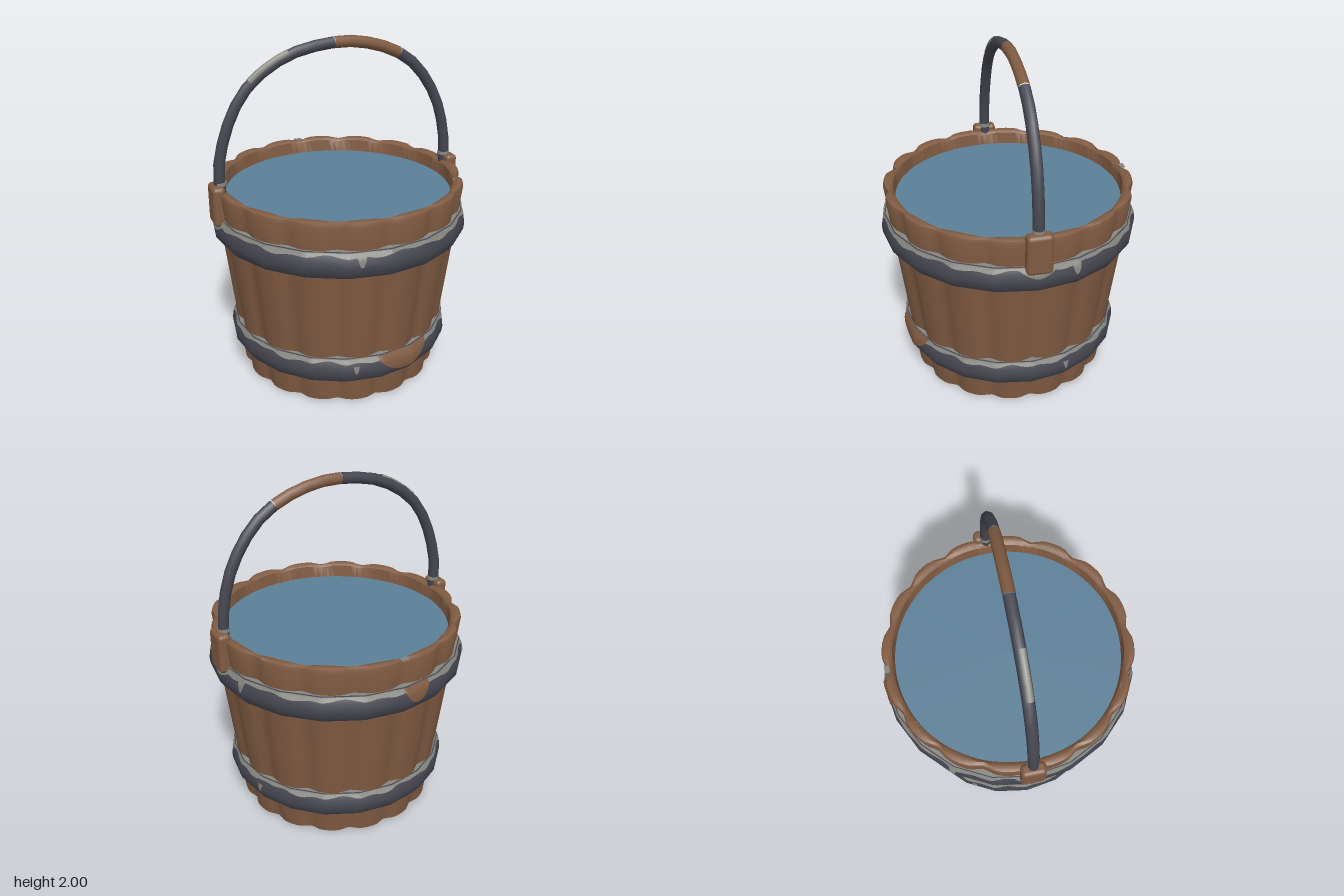
import * as THREE from 'three';
import { toCreasedNormals } from 'three/addons/utils/BufferGeometryUtils.js';
import { RoundedBoxGeometry } from 'three/addons/geometries/RoundedBoxGeometry.js';

const STAVES = 16, SIDES = 20;

function material(name, color, side = THREE.FrontSide) {
  const m = new THREE.MeshStandardMaterial({ color, side });
  m.name = name;
  return m;
}

const v2 = (pts) => pts.map(([x, y]) => new THREE.Vector2(x, y));

// Groove strength, 1 on the seam between two staves and 0 on the stave
function groove(theta) {
  const step = (2 * Math.PI) / STAVES;
  const k = Math.round(theta / step);
  return Math.exp(-(((theta - k * step) / 0.075) ** 2));
}

// Wooden wall: lathe with the stave seams pressed in
function woodGeometry() {
  const g = new THREE.LatheGeometry(v2([
    [0, 0.006], [0.585, 0.006], [0.6, 0.012], [0.624, 0.2], [0.671, 0.6], [0.718, 1.0],
    [0.738, 1.165], [0.732, 1.188], [0.715, 1.196], [0.69, 1.193], [0.675, 1.18], [0.663, 1.07],
  ]), STAVES * 8);
  const p = g.attributes.position;
  for (let i = 0; i < p.count; i++) {
    const x = p.getX(i), y = p.getY(i), z = p.getZ(i), r = Math.hypot(x, z);
    if (r < 0.01) continue;
    const w = groove(Math.atan2(x, z));
    const outer = y < 1.05 || r > 0.7;
    const k = outer ? 1 - (0.026 * w) / r : 1;
    p.setXYZ(i, x * k, y > 1.15 ? y - 0.01 * w : Math.max(0, y - 0.006), z * k);
  }
  return toCreasedNormals(g, 0.75);
}

// Radius of a band profile at height y, on its many-sided outline
function bandRadius(profile, theta, y) {
  let r = profile[1][0];
  for (let i = 1; i < profile.length - 2; i++) {
    const [r0, y0] = profile[i], [r1, y1] = profile[i + 1];
    if (y >= y0) r = r0 + (r1 - r0) * Math.min(1, (y - y0) / (y1 - y0));
  }
  const step = (2 * Math.PI) / SIDES;
  const local = theta - Math.floor(theta / step) * step - step / 2;
  return (r * Math.cos(step / 2)) / Math.cos(local);
}

// Thin painted patch draped on a band between two angles and two edge curves
function patchGeometry(profile, a0, a1, low, high, cols = 24) {
  const g = new THREE.PlaneGeometry(1, 1, cols, 6);
  const p = g.attributes.position;
  for (let i = 0; i < p.count; i++) {
    const t = p.getX(i) + 0.5, v = p.getY(i) + 0.5;
    const a = a0 + (a1 - a0) * t;
    const y = low(t) + (high(t) - low(t)) * v;
    const r = bandRadius(profile, a, y) + 0.004;
    p.setXYZ(i, Math.sin(a) * r, y, Math.cos(a) * r);
  }
  g.computeVertexNormals();
  return g;
}

export function createModel() {
  const wood = material('brown wood', 0x805b42);
  const iron = material('dark iron', 0x464651);
  const worn = material('worn grey metal', 0x85867f, THREE.DoubleSide);
  const water = material('blue water', 0x5c8098);

  const model = new THREE.Group();
  model.name = 'bucket';
  const add = (name, geometry, mat, parent = model) => {
    const mesh = new THREE.Mesh(geometry, mat);
    mesh.name = name;
    parent.add(mesh);
    return mesh;
  };

  add('staves', woodGeometry(), wood);
  const surface = add('waterSurface', new THREE.CircleGeometry(0.672, 64), water);
  surface.rotation.x = -Math.PI / 2;
  surface.position.y = 1.105;

  // Iron bands with a worn upper edge
  const bands = [
    { name: 'upperBand', r: 0.76, y: 0.875, inner: 0.67 },
    { name: 'lowerBand', r: 0.671, y: 0.165, inner: 0.585 },
  ].map(({ name, r, y, inner }) => {
    const group = new THREE.Group();
    group.name = name;
    model.add(group);
    const profile = [
      [inner, y], [r - 0.028, y], [r - 0.004, y + 0.035], [r, y + 0.07],
      [r - 0.006, y + 0.115], [r - 0.026, y + 0.15], [inner, y + 0.153],
    ];
    add('ironHoop', toCreasedNormals(new THREE.LatheGeometry(v2(profile), SIDES), 0.8), iron, group);
    const top = new THREE.RingGeometry(inner, r - 0.027, SIDES, 1, Math.PI / 2);
    top.rotateX(-Math.PI / 2).translate(0, y + 0.156, 0);
    add('wornTop', top, worn, group);
    const edge = (t) => y + 0.129 + 0.006 * Math.sin(t * 63) + 0.005 * Math.sin(t * 151);
    add('wornEdge', patchGeometry(profile, 0, 2 * Math.PI, edge, () => y + 0.151, 240), worn, group);
    return { group, profile, y };
  });
  const [upper, lower] = bands;

  // Missing paint on the bands: brown repairs and grey chips
  const rust = (band, a0, a1, depth) => add('brownPatch', patchGeometry(
    band.profile, a0, a1,
    (t) => band.y + 0.148 - depth * Math.sin(Math.PI * t) ** 0.7,
    () => band.y + 0.151), wood, band.group).translateY(0.001).scale.set(1.003, 1, 1.003);
  rust(lower, -0.04, 0.52, 0.115);
  rust(upper, Math.PI - 0.02, Math.PI + 0.22, 0.1);

  const chip = (band, angle, width, y0, y1) => add('greyChip', patchGeometry(
    band.profile, angle - width / 2, angle + width / 2,
    (t) => y1 - (y1 - y0) * Math.sin(Math.PI * t), () => y1, 8), worn, band.group);
  chip(upper, -0.22, 0.08, 0.945, 1.015);
  chip(upper, Math.PI / 2 + 0.29, 0.08, 0.945, 1.015);
  chip(upper, Math.PI / 2, 0.3, 0.965, 1.015);
  chip(upper, -Math.PI / 2, 0.3, 0.965, 1.015);
  chip(upper, -2.2, 0.08, 0.945, 1.015);
  for (const a of [-0.23, Math.PI / 2 + 0.31, -2.1]) chip(lower, a, 0.055, 0.225, 0.275);

  // Worn spots on the rim
  for (const [x, z] of [[-0.36, -0.6], [0.62, -0.35], [0.6, 0.35], [-0.36, 0.6], [0, -0.71]]) {
    const spot = add('rimChip', new THREE.BoxGeometry(0.045, 0.008, 0.03), worn);
    spot.position.set(x, 1.186, z);
    spot.rotation.y = Math.atan2(x, z);
  }

  // Handle, divided along one bent curve
  const handle = new THREE.Group();
  handle.name = 'handle';
  model.add(handle);
  const curve = new THREE.CatmullRomCurve3([
    [-0.71, 1.12], [-0.714, 1.33], [-0.655, 1.55], [-0.585, 1.69], [-0.49, 1.8], [-0.31, 1.91],
    [-0.13, 1.957], [0.1, 1.966], [0.34, 1.9], [0.49, 1.8], [0.625, 1.61], [0.69, 1.42],
    [0.712, 1.25], [0.71, 1.12],
  ].map(([x, y]) => new THREE.Vector3(x, y, 0)));
  const section = (u0, u1, n, radius) => {
    const pts = Array.from({ length: n + 1 }, (_, i) => curve.getPointAt(u0 + ((u1 - u0) * i) / n));
    return new THREE.TubeGeometry(new THREE.CatmullRomCurve3(pts), n, radius, 8);
  };
  add('handleRight', section(0, 0.49, 11, 0.033), iron, handle);
  add('handleRepair', section(0.49, 0.655, 4, 0.034), wood, handle);
  add('handleLeft', section(0.655, 1, 8, 0.033), iron, handle);
  add('handleWear', section(0.28, 0.385, 4, 0.023), worn, handle).position.set(-0.007, 0.011, 0.007);

  // Wooden lugs holding the handle
  for (const s of [-1, 1]) {
    const lug = add(s > 0 ? 'leftLug' : 'rightLug', new RoundedBoxGeometry(0.075, 0.235, 0.145, 3, 0.025), wood);
    lug.position.set(s * 0.735, 1.11, 0);
    const collar = add('wornCollar', new THREE.CylinderGeometry(0.035, 0.037, 0.02, 8), worn, handle);
    collar.position.set(s * 0.711, 1.232, 0);
  }
  return model;
}
